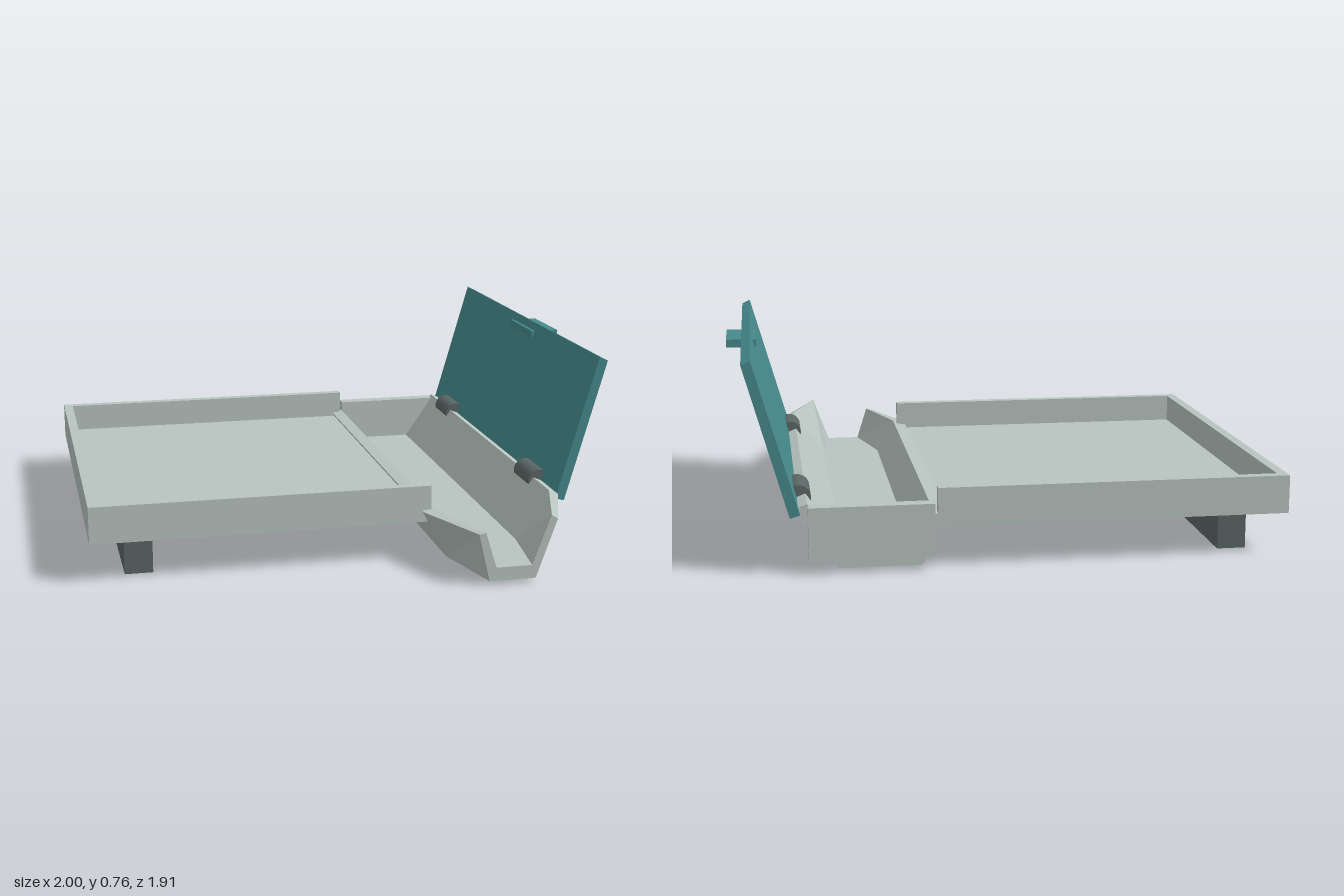
import * as THREE from 'three';

const bodyMat = new THREE.MeshStandardMaterial({ color: 0xb8c4c0, flatShading: true });
const darkMat = new THREE.MeshStandardMaterial({ color: 0x5a6664 });
const lidMat = new THREE.MeshStandardMaterial({ color: 0x468a8c });

// Box given by its min and max corners
function box(name, mat, [x0, y0, z0], [x1, y1, z1]) {
  const mesh = new THREE.Mesh(new THREE.BoxGeometry(x1 - x0, y1 - y0, z1 - z0), mat);
  mesh.position.set((x0 + x1) / 2, (y0 + y1) / 2, (z0 + z1) / 2);
  mesh.name = name;
  return mesh;
}

// Solid skinned over closed U-shaped sections [z, points], back to front
function loftChannel(sections) {
  const rings = sections.map(([z, pts]) => pts.map(([x, y]) => [x, y, z]));
  const pos = [];
  const tri = (a, b, c) => pos.push(...a, ...b, ...c);
  const quad = (a, b, c, d) => { tri(a, b, d); tri(b, c, d); };
  for (let r = 0; r < rings.length - 1; r++) {
    const a = rings[r], b = rings[r + 1];
    for (let i = 0; i < a.length; i++) {
      const j = (i + 1) % a.length;
      quad(a[i], a[j], b[j], b[i]);
    }
  }
  const back = rings[0], front = rings[rings.length - 1];
  for (const [a, b, c, d] of [[0, 1, 6, 7], [1, 2, 5, 6], [2, 3, 4, 5]]) {
    quad(front[a], front[b], front[c], front[d]);
    quad(back[d], back[c], back[b], back[a]);
  }
  const geo = new THREE.BufferGeometry();
  geo.setAttribute('position', new THREE.Float32BufferAttribute(pos, 3));
  geo.computeVertexNormals();
  return geo;
}

export function createModel() {
  const model = new THREE.Group();

  // Shallow tray, open towards the trough
  const tray = new THREE.Group();
  tray.name = 'tray';
  tray.add(
    box('trayFloor', bodyMat, [-1, 0.15, -0.93], [0.275, 0.18, 0.64]),
    box('trayEndWall', bodyMat, [-1, 0.18, -0.93], [-0.963, 0.29, 0.64]),
    box('trayBackWall', bodyMat, [-0.963, 0.18, -0.93], [0.275, 0.29, -0.893]),
    box('trayFrontWall', bodyMat, [-0.963, 0.18, 0.603], [0.275, 0.29, 0.64])
  );
  model.add(tray);

  // Trough with a narrowing spout at the front
  const wide = [[0.24, 0.195], [0.33, 0.015], [0.625, 0.015], [0.768, 0.235],
    [0.73, 0.25], [0.602, 0.065], [0.36, 0.065], [0.288, 0.2]];
  const narrow = [[0.362, 0.195], [0.405, 0.015], [0.58, 0.015], [0.657, 0.235],
    [0.633, 0.25], [0.565, 0.065], [0.43, 0.065], [0.387, 0.2]];
  const trough = new THREE.Mesh(loftChannel([[-0.93, wide], [0.665, wide], [0.955, narrow]]), bodyMat);
  trough.name = 'trough';
  model.add(trough);
  model.add(box('troughEndPlate', bodyMat, [0.288, 0.05, -0.953], [0.728, 0.24, -0.903]));

  // Supports
  model.add(box('trayFoot', darkMat, [-0.87, 0, -0.84], [-0.765, 0.15, 0.56]));
  model.add(box('troughFootStrip', darkMat, [0.405, 0, -0.84], [0.51, 0.016, 0.56]));

  // Tilted lid, extruded along z
  const lidShape = new THREE.Shape([[0.755, 0.217], [0.79, 0.207], [0.942, 0.743], [0.91, 0.758]]
    .map(([x, y]) => new THREE.Vector2(x, y)));
  const lid = new THREE.Mesh(
    new THREE.ExtrudeGeometry(lidShape, { depth: 1.626, bevelEnabled: false }), lidMat);
  lid.position.z = -0.957;
  lid.name = 'lid';
  model.add(lid);
  model.add(box('lidHandle', lidMat, [0.888, 0.697, -0.276], [1, 0.727, -0.012]));

  // Hinge barrels
  for (const z of [-0.697, 0.407]) {
    const hinge = new THREE.Mesh(new THREE.CylinderGeometry(0.045, 0.045, 0.17, 24), darkMat);
    hinge.rotation.x = Math.PI / 2;
    hinge.position.set(0.755, 0.235, z);
    hinge.name = 'hinge';
    model.add(hinge);
  }
  return model;
}
